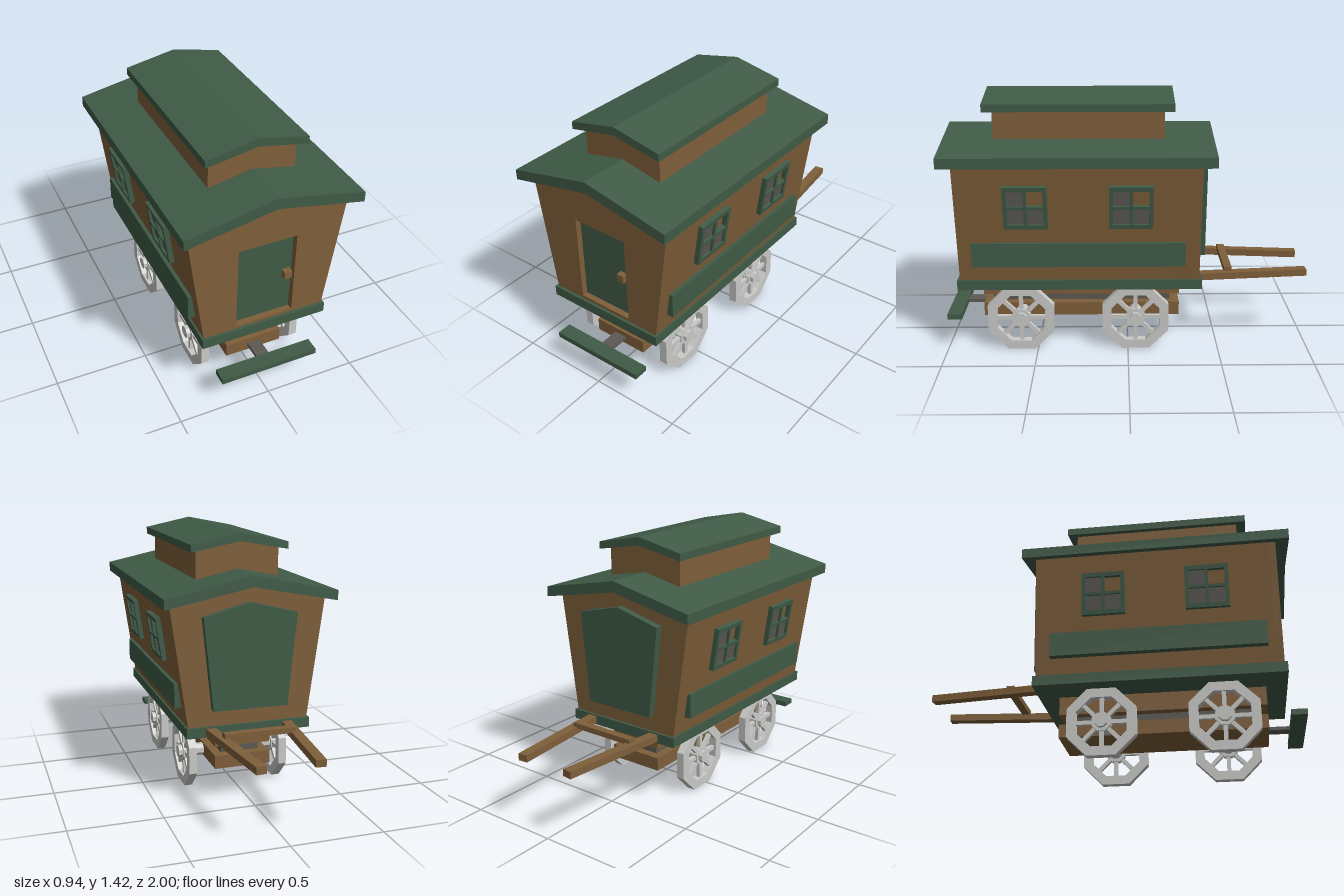
import * as THREE from 'three';

const flat = (name, color) => {
  const m = new THREE.MeshStandardMaterial({ color, flatShading: true });
  m.name = name;
  return m;
};

export function createModel() {
  const wood = flat('brown wood', 0x7f5f3a);
  const green = flat('green paint', 0x405b47);
  const pale = flat('pale wheel grey', 0xcacac8);
  const dark = flat('dark grey', 0x5d5a55);

  const root = new THREE.Group();
  root.name = 'wagon';

  const add = (name, geo, mat, parent = root) => {
    const mesh = new THREE.Mesh(geo, mat);
    mesh.name = name;
    parent.add(mesh);
    return mesh;
  };
  // Box given by its limits on each axis
  const box = (name, mat, [x0, x1], [y0, y1], [z0, z1], parent = root) => {
    const mesh = add(name, new THREE.BoxGeometry(x1 - x0, y1 - y0, z1 - z0), mat, parent);
    mesh.position.set((x0 + x1) / 2, (y0 + y1) / 2, (z0 + z1) / 2);
    return mesh;
  };
  const shapeOf = (pts) => new THREE.Shape(pts.map(([x, y]) => new THREE.Vector2(x, y)));
  const rect = (x0, x1, y0, y1) => shapeOf([[x0, y0], [x1, y0], [x1, y1], [x0, y1]]);
  // Outline in x-y pushed from z0 to z1
  const prism = (name, mat, shape, z0, z1, parent = root) => {
    const geo = new THREE.ExtrudeGeometry(shape, { depth: z1 - z0, bevelEnabled: false });
    geo.translate(0, 0, z0);
    return add(name, geo, mat, parent);
  };

  // Cabin: flared walls, with a front wall that has a recessed doorway
  const cabin = () => shapeOf([[-0.333, 0.42], [0.333, 0.42], [0.426, 1.085], [0, 1.172], [-0.426, 1.085]]);
  prism('cabinBody', wood, cabin(), -0.385, 0.87);
  const frontWall = cabin();
  frontWall.holes.push(rect(-0.157, 0.157, 0.447, 0.92));
  prism('frontWall', wood, frontWall, 0.87, 0.905);
  box('door', green, [-0.153, 0.153], [0.452, 0.916], [0.865, 0.877]);
  box('doorKnob', wood, [0.1, 0.142], [0.665, 0.707], [0.875, 0.91]);
  prism('backPanel', green,
    shapeOf([[-0.206, 0.52], [0.206, 0.52], [0.257, 1.02], [0, 1.085], [-0.257, 1.02]]), -0.425, -0.38);
  box('floor', green, [-0.345, 0.345], [0.375, 0.43], [-0.4, 0.92]);

  // Folded roofs and the raised skylight box
  const gable = (w, eave, eaveTop, ridge, ridgeTop) =>
    shapeOf([[-w, eave], [0, ridge], [w, eave], [w, eaveTop], [0, ridgeTop], [-w, eaveTop]]);
  prism('mainRoof', green, gable(0.47, 1.077, 1.132, 1.17, 1.23), -0.455, 0.975);
  prism('upperCabin', wood,
    shapeOf([[-0.232, 1.1], [0.232, 1.1], [0.232, 1.338], [0, 1.382], [-0.232, 1.338]]), -0.195, 0.71);
  prism('upperRoof', green, gable(0.27, 1.33, 1.37, 1.38, 1.425), -0.245, 0.76);

  // Side windows lean with the wall; one pane in each is open
  const lean = Math.atan2(0.093, 0.665);
  const panes = [[-1, -1], [1, -1], [-1, 1], [1, 1]];
  const addWindow = (side, z) => {
    const win = new THREE.Group();
    win.name = 'sideWindow';
    const frame = rect(-0.115, 0.115, -0.118, 0.118);
    for (const [sx, sy] of panes) {
      const cx = sx * 0.051, cy = sy * 0.051;
      frame.holes.push(rect(cx - 0.043, cx + 0.043, cy - 0.043, cy + 0.043));
      if (sx + sy < 2) {
        box('windowPane', dark, [cx - 0.043, cx + 0.043], [cy - 0.043, cy + 0.043], [0.006, 0.014], win);
      }
    }
    prism('windowFrame', green, frame, -0.003, 0.027, win);
    const y = 0.858;
    win.position.set(side * (0.333 + (y - 0.42) * Math.tan(lean)), y, z);
    win.rotation.set(lean, side * Math.PI / 2, 0, 'YXZ');
    root.add(win);
  };

  // Octagonal wheel with its axis along x
  const octagon = (apothem) => {
    const pts = [];
    for (let i = 0; i < 8; i++) {
      const a = (i + 0.5) * Math.PI / 4, r = apothem / Math.cos(Math.PI / 8);
      pts.push([r * Math.cos(a), r * Math.sin(a)]);
    }
    return shapeOf(pts);
  };
  const addWheel = (side, z) => {
    const wheel = new THREE.Group();
    wheel.name = 'wheel';
    const rim = octagon(0.182);
    rim.holes.push(octagon(0.133));
    prism('rim', pale, rim, -0.0225, 0.0225, wheel);
    for (let i = 0; i < 4; i++) {
      const spoke = add('spokePair', new THREE.BoxGeometry(0.28, 0.022, 0.022), pale, wheel);
      spoke.rotation.z = i * Math.PI / 4;
    }
    prism('hub', pale, octagon(0.05), -0.018, 0.018, wheel);
    wheel.position.set(side * 0.2625, 0.182, z);
    wheel.rotation.y = Math.PI / 2;
    root.add(wheel);
  };

  for (const side of [-1, 1]) {
    for (const z of [0.535, -0.015]) addWindow(side, z);
    for (const z of [0.59, -0.042]) addWheel(side, z);
    const xs = [0.325, 0.385].map((x) => x * side).sort((a, b) => a - b);
    box('sideLocker', green, xs, [0.52, 0.652], [-0.305, 0.83]);

    // Draw shafts converge towards the rear tip
    const shaft = add('shaft', new THREE.BoxGeometry(0.054, 0.038, 0.62), wood);
    shaft.position.set(side * 0.183, 0.404, -0.689);
    shaft.rotation.y = side * 0.105;
  }
  box('shaftCrossbar', wood, [-0.195, 0.195], [0.415, 0.445], [-0.578, -0.535]);

  // Undercarriage
  for (const z of [0.59, -0.042]) {
    const axle = add('axle', new THREE.CylinderGeometry(0.035, 0.035, 0.604, 8), pale);
    axle.geometry.rotateY(Math.PI / 8);
    axle.rotation.z = Math.PI / 2;
    axle.position.set(0, 0.182, z);
  }
  box('upperBeam', wood, [-0.157, 0.157], [0.275, 0.38], [-0.29, 0.81]);
  box('middleBeam', dark, [-0.108, 0.108], [0.215, 0.28], [-0.24, 0.76]);
  box('lowerBeam', wood, [-0.157, 0.157], [0.148, 0.222], [-0.29, 0.81]);

  // Front step on its bracket
  box('stepBracket', dark, [-0.035, 0.035], [0.176, 0.194], [0.8, 0.93]);
  box('frontStep', green, [-0.27, 0.27], [0.17, 0.2], [0.92, 1]);

  return root;
}
